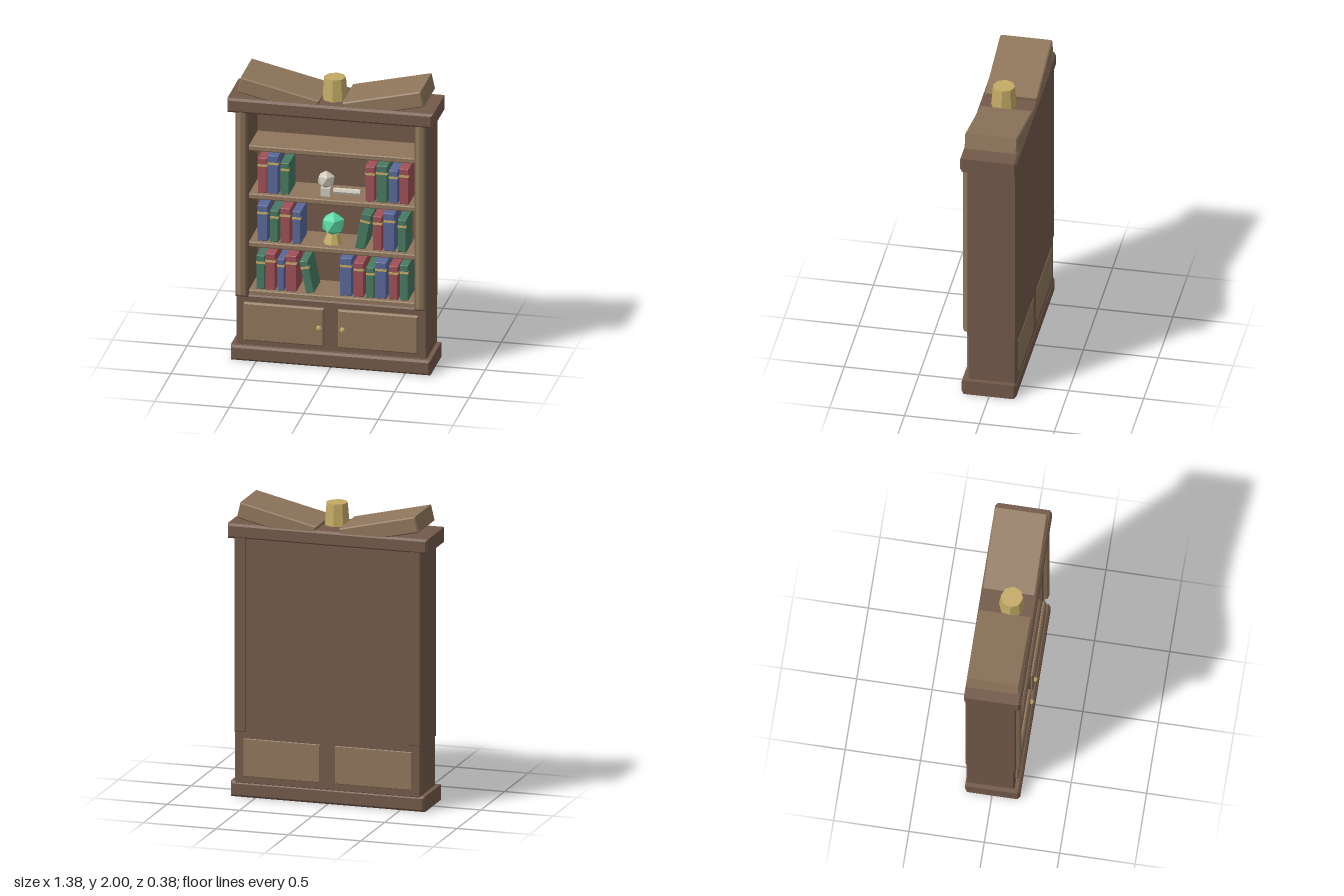
import * as THREE from 'three';

const mat = (color) => new THREE.MeshStandardMaterial({ color, flatShading: true });
const M = {
  wood: mat(0x735a4a), dark: mat(0x6b5242), light: mat(0x8f765c), gold: mat(0xc4ab66),
  red: mat(0x9e5057), blue: mat(0x5a6898), green: mat(0x477a62),
  gem: mat(0x5ad9a5), bone: mat(0xcfc8ba),
};

// Box with single-facet chamfered edges, centred on the origin
function chamferBox(w, h, d, b) {
  const x = w / 2 - b, y = h / 2 - b;
  const s = new THREE.Shape([[-x, -y], [x, -y], [x, y], [-x, y]].map((p) => new THREE.Vector2(...p)));
  const g = new THREE.ExtrudeGeometry(s, {
    depth: d - 2 * b, bevelEnabled: true, bevelSize: b, bevelThickness: b, bevelSegments: 1,
  });
  return g.translate(0, 0, b - d / 2);
}

function add(parent, name, geometry, material, x = 0, y = 0, z = 0) {
  const m = new THREE.Mesh(geometry, material);
  m.name = name;
  m.position.set(x, y, z);
  parent.add(m);
  return m;
}

// Chamfered box given by its extents
function block(parent, name, material, [x0, x1], [y0, y1], [z0, z1], b = 0.01) {
  return add(parent, name, chamferBox(x1 - x0, y1 - y0, z1 - z0, b), material,
    (x0 + x1) / 2, (y0 + y1) / 2, (z0 + z1) / 2);
}

// Book standing on its base centre, with a gold band round the spine
function book(parent, x, y, width, height, color, tilt = 0) {
  const g = new THREE.Group();
  g.name = 'book';
  g.position.set(x, y, 0);
  g.rotation.z = tilt;
  add(g, 'cover', chamferBox(width, height, 0.2, 0.004), M[color], 0, height / 2, 0);
  add(g, 'band', new THREE.BoxGeometry(width + 0.002, 0.016, 0.03), M.gold, 0, height * 0.79, 0.087);
  parent.add(g);
}

// Rows of books: [centre x, width, height, colour, tilt]
const ROWS = [
  { y: 0.485, books: [
    [-0.485, 0.057, 0.235, 'green'], [-0.42, 0.066, 0.255, 'red'], [-0.35, 0.046, 0.22, 'blue'],
    [-0.28, 0.07, 0.25, 'red'], [-0.153, 0.055, 0.225, 'green', 0.2],
    [0.087, 0.078, 0.265, 'blue'], [0.172, 0.066, 0.24, 'red'], [0.25, 0.056, 0.212, 'green'],
    [0.32, 0.074, 0.255, 'blue'], [0.405, 0.06, 0.235, 'red'], [0.477, 0.056, 0.248, 'green']] },
  { y: 0.825, books: [
    [-0.472, 0.068, 0.25, 'blue'], [-0.394, 0.056, 0.22, 'green'], [-0.32, 0.066, 0.242, 'red'],
    [-0.244, 0.056, 0.227, 'blue'],
    [0.18, 0.066, 0.25, 'green', -0.18], [0.298, 0.06, 0.238, 'red'], [0.377, 0.074, 0.265, 'blue'],
    [0.463, 0.056, 0.228, 'green']] },
  { y: 1.165, books: [
    [-0.472, 0.062, 0.245, 'red'], [-0.402, 0.072, 0.268, 'blue'], [-0.323, 0.056, 0.222, 'green'],
    [0.248, 0.062, 0.245, 'red'], [0.328, 0.074, 0.258, 'green'], [0.405, 0.058, 0.23, 'blue'],
    [0.477, 0.062, 0.25, 'red']] },
];

export function createModel() {
  const root = new THREE.Group();
  root.name = 'bookcase';

  // Carcass
  block(root, 'plinth', M.wood, [-0.67, 0.67], [0, 0.105], [-0.18, 0.185], 0.015);
  block(root, 'lowerCabinet', M.wood, [-0.64, 0.64], [0.09, 0.455], [-0.175, 0.145]);
  block(root, 'backPanel', M.wood, [-0.57, 0.57], [0.43, 1.77], [-0.175, -0.14], 0.004);
  block(root, 'crown', M.wood, [-0.69, 0.69], [1.75, 1.85], [-0.185, 0.192], 0.015);

  // Shelves
  for (const top of [0.485, 0.825, 1.165, 1.505]) {
    block(root, 'shelf', M.light, [-0.565, 0.565], [top - 0.037, top], [-0.15, 0.13], 0.006);
  }

  // Mirrored parts: sides, columns, doors and knobs, sloping pediment halves
  for (const s of [-1, 1]) {
    add(root, 'sidePanel', chamferBox(0.088, 1.33, 0.335, 0.01), M.wood, s * 0.601, 1.105, -0.0125);
    add(root, 'column', new THREE.CylinderGeometry(0.036, 0.036, 1.3, 8), M.light, s * 0.6, 1.115, 0.15);
    add(root, 'door', chamferBox(0.54, 0.27, 0.345, 0.01), M.light, s * 0.316, 0.272, -0.0065);
    add(root, 'knob', new THREE.IcosahedronGeometry(0.02), M.gold, s * 0.079, 0.27, 0.17);
    const half = add(root, 'pedimentHalf', chamferBox(0.54, 0.108, 0.35, 0.008), M.light, s * 0.352, 1.884, -0.002);
    half.rotation.z = s * 0.229;
  }
  add(root, 'finial', new THREE.CylinderGeometry(0.073, 0.087, 0.16, 8), M.gold, 0, 1.92, 0.03);

  // Books
  for (const { y, books } of ROWS) {
    for (const [x, w, h, color, tilt] of books) book(root, x, y, w, h, color, tilt);
  }

  // Faceted orb on its stand
  const orb = add(root, 'orb', new THREE.IcosahedronGeometry(0.083), M.gem, -0.015, 0.955, 0.02);
  orb.rotation.z = -0.5536;
  add(root, 'orbStand', new THREE.CylinderGeometry(0.04, 0.066, 0.065, 8), M.gold, -0.015, 0.857, 0.02);

  // Skull and scroll
  const skull = add(root, 'skull', new THREE.IcosahedronGeometry(0.062), M.bone, -0.06, 1.268, 0.03);
  skull.rotation.z = -0.5536;
  add(root, 'skullJaw', new THREE.BoxGeometry(0.064, 0.055, 0.06), M.bone, -0.058, 1.1925, 0.045);
  const scroll = add(root, 'scroll', new THREE.CylinderGeometry(0.022, 0.022, 0.18, 8), M.bone, 0.085, 1.203, 0.05);
  scroll.rotation.z = Math.PI / 2;

  return root;
}
